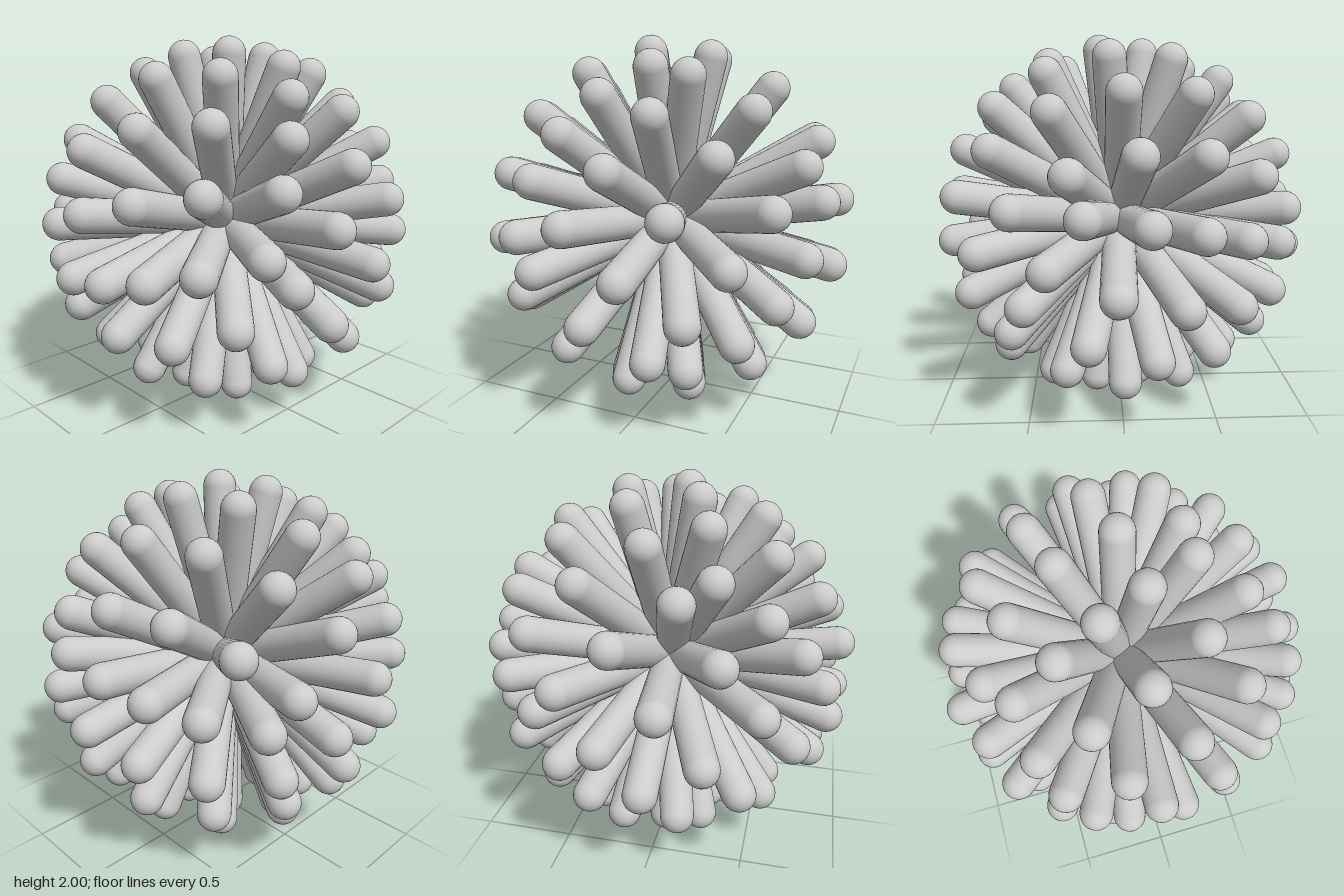
import * as THREE from 'three';

const REACH = 0.923;   // centre of the ball to the centre of a rod's round tip
const RADIUS = 0.088;  // rod radius
const STEP = Math.PI / 8;

export function createModel() {
  const model = new THREE.Group();
  model.name = 'spikyBall';
  const material = new THREE.MeshStandardMaterial({ color: 0xcccccc });

  // The ball is tilted: its pole axis leans to the side, and the rings start near the front
  const pole = new THREE.Vector3(0.779, -0.603, -0.17).normalize();
  const third = new THREE.Vector3(0.135, -0.105, 0.985).cross(pole).normalize();
  const start = new THREE.Vector3().crossVectors(pole, third);
  const ball = new THREE.Group();
  ball.name = 'rods';
  ball.position.y = 1;
  ball.quaternion.setFromRotationMatrix(new THREE.Matrix4().makeBasis(start, pole, third));
  model.add(ball);

  // One round-ended rod, running from the centre of the ball out to its tip
  const rod = new THREE.CapsuleGeometry(RADIUS, REACH, 8, 28);
  rod.translate(0, REACH / 2, 0);
  const up = new THREE.Vector3(0, 1, 0);

  function addRod(name, direction) {
    const mesh = new THREE.Mesh(rod, material);
    mesh.name = name;
    mesh.quaternion.setFromUnitVectors(up, direction.normalize());
    ball.add(mesh);
  }

  // Three rings of sixteen rods around the equator
  for (let ring = -1; ring <= 1; ring++) {
    for (let i = 0; i < 16; i++) {
      addRod('ringRod', new THREE.Vector3().setFromSphericalCoords(1, Math.PI / 2 + ring * STEP, i * STEP));
    }
  }

  // A five by five cap of rods at each pole, turned by one step against the rings
  for (const side of [1, -1]) {
    for (let i = -2; i <= 2; i++) {
      for (let j = -2; j <= 2; j++) {
        const direction = new THREE.Vector3(Math.tan(i * STEP / 1), side, Math.tan(j * STEP));
        addRod('capRod', direction.applyAxisAngle(up, -STEP));
      }
    }
  }
  return model;
}
